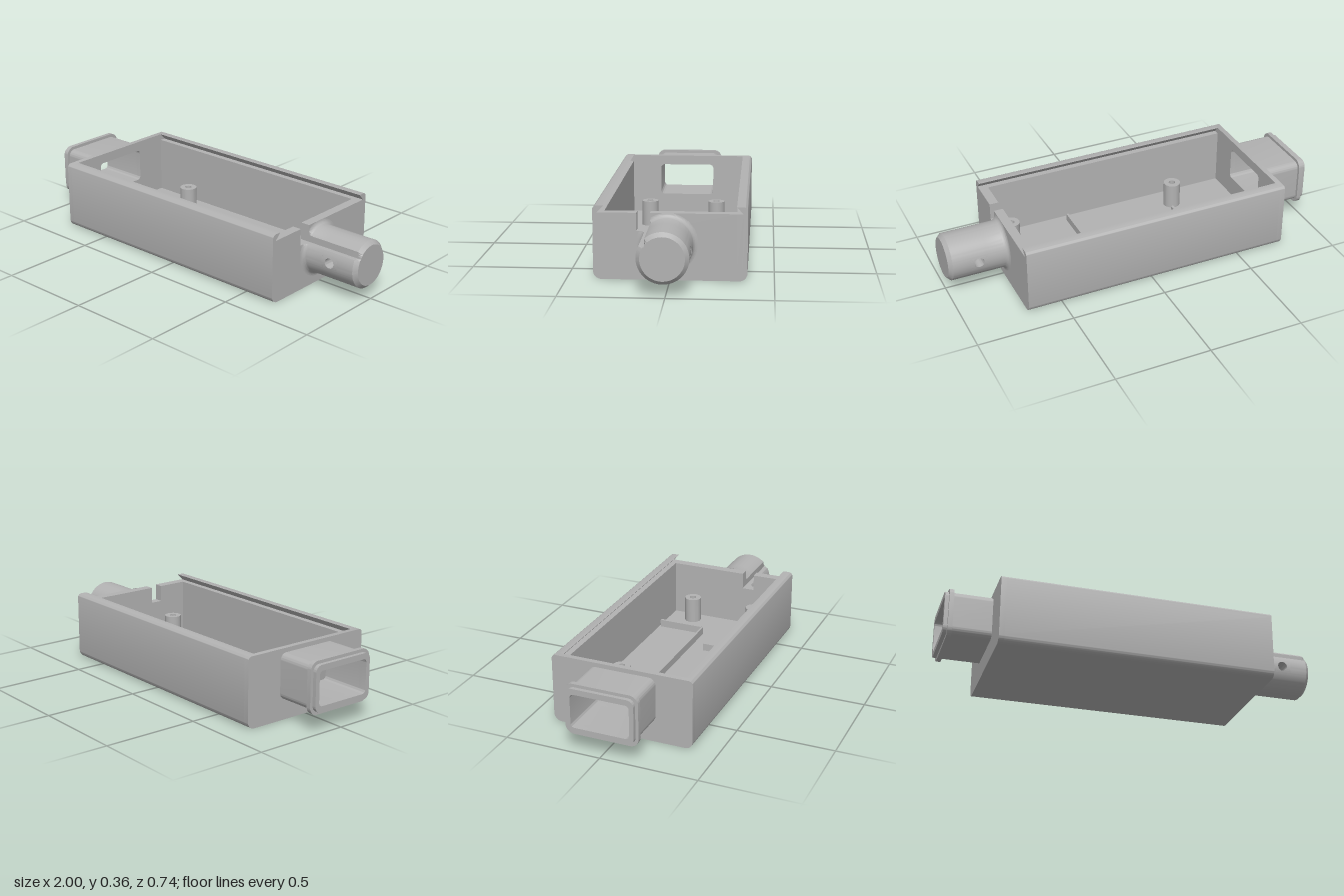
import * as THREE from 'three';
import { toCreasedNormals } from 'three/addons/utils/BufferGeometryUtils.js';

const X0 = -0.755, X1 = 0.685;      // ends of the case
const WALL = 0.318, HALF = 0.371;   // inner and outer half widths
const FLOOR = 0.03, LEDGE = 0.328, TOP = 0.362;
const PLUG = { y: 0.183, z: 0.012, r: 0.123 };

export function createModel() {
  const group = new THREE.Group();
  const grey = new THREE.MeshStandardMaterial({ color: 0xb2b2b2, side: THREE.DoubleSide });
  grey.name = 'case grey';

  const add = (name, geo, crease = 0.6) => {
    const mesh = new THREE.Mesh(toCreasedNormals(geo, crease), grey);
    mesh.name = name;
    group.add(mesh);
    return mesh;
  };

  // Extrude a (-z, y) cross-section along x
  const prism = (shape, xa, xb) => new THREE.ExtrudeGeometry(shape, {
    depth: xb - xa, bevelEnabled: false, curveSegments: 8,
  }).rotateY(Math.PI / 2).translate(xa, 0, 0);

  const roundRect = (path, cu, cy, hw, hh, rBottom, rTop = rBottom) => {
    const l = cu - hw, r = cu + hw, b = cy - hh, t = cy + hh;
    path.moveTo(l + rBottom, b);
    path.lineTo(r - rBottom, b);
    path.absarc(r - rBottom, b + rBottom, rBottom, -Math.PI / 2, 0);
    path.absarc(r - rTop, t - rTop, rTop, 0, Math.PI / 2);
    path.absarc(l + rTop, t - rTop, rTop, Math.PI / 2, Math.PI);
    path.absarc(l + rBottom, b + rBottom, rBottom, Math.PI, Math.PI * 1.5);
    return path;
  };

  // Trough: floor and long walls with dovetail grooves for a sliding lid
  const u = new THREE.Shape();
  u.moveTo(-HALF + 0.04, 0);
  u.lineTo(HALF - 0.04, 0);
  u.absarc(HALF - 0.04, 0.04, 0.04, -Math.PI / 2, 0);
  u.absarc(HALF - 0.02, TOP - 0.02, 0.02, 0, Math.PI / 2);
  for (const [a, b] of [[WALL, TOP], [0.35, LEDGE], [WALL, LEDGE], [WALL, FLOOR],
    [-WALL, FLOOR], [-WALL, LEDGE], [-0.35, LEDGE], [-WALL, TOP]]) u.lineTo(a, b);
  u.absarc(-HALF + 0.02, TOP - 0.02, 0.02, Math.PI / 2, Math.PI);
  u.absarc(-HALF + 0.04, 0.04, 0.04, Math.PI, Math.PI * 1.5);
  add('trough', prism(u, -0.727, X1));

  // Lower end wall with the cable notch
  const end = new THREE.Shape([[-WALL, FLOOR], [WALL, FLOOR], [WALL, LEDGE], [-0.095, LEDGE],
    [-0.095, 0.24], [-0.16, 0.24], [-0.16, LEDGE], [-WALL, LEDGE]]
    .map(([a, b]) => new THREE.Vector2(a, b)));
  add('notchedEndWall', prism(end, 0.637, X1));

  // Tall end wall, rectangular socket tube and its flange, all sharing one opening
  const CU = -0.005, CY = 0.2225;
  const ring = (cu, cy, hw, hh, rb, rt) => {
    const s = roundRect(new THREE.Shape(), cu, cy, hw, hh, rb, rt);
    s.holes.push(roundRect(new THREE.Path(), CU, CY, 0.152, 0.0875, 0.02));
    return s;
  };
  add('socketEndWall', prism(ring(0, TOP / 2, HALF, TOP / 2, 0.04, 0.02), X0, -0.727));
  add('socketTube', prism(ring(CU, CY, 0.175, 0.117, 0.035), -1, X0));
  add('socketFlange', prism(ring(CU, CY, 0.19, 0.133, 0.045), -0.98, -0.956));

  // Screw posts with blind holes
  for (const x of [-0.38, 0.565]) for (const z of [-0.18, 0.19]) {
    const profile = [[0.045, FLOOR], [0.045, 0.167], [0.018, 0.167], [0.018, 0.06], [0, 0.06]]
      .map(([r, y]) => new THREE.Vector2(r, y));
    add('screwPost', new THREE.LatheGeometry(profile, 32).translate(x, 0, z));
  }

  // Low locating ribs on the floor
  for (const [xa, xb, za, zb] of [[-0.33, 0.4, -0.062, -0.05], [0.4, 0.414, -0.31, -0.062],
    [0.205, 0.217, 0.03, 0.275], [-0.35, -0.336, 0.03, 0.11]]) {
    const h = 0.07 - FLOOR;
    add('floorRib', new THREE.BoxGeometry(xb - xa, h, zb - za)
      .translate((xa + xb) / 2, FLOOR + h / 2, (za + zb) / 2));
  }

  // Round plug: radius follows a profile, limited by a square step that carries the cable
  const point = (x, r, a) => {
    const s = Math.sin(a), c = Math.cos(a);
    const rr = s > 1e-4 && c > 1e-4 ? Math.min(r, Math.max(0.057 / s, 0.083 / c)) : r;
    return [x, PLUG.y + rr * s, PLUG.z + rr * c];
  };
  const pos = [];
  const quad = (a, b, c, d) => pos.push(...a, ...b, ...c, ...a, ...c, ...d);
  const HX = 0.842, HR = 0.026, PX = 0.045, PA = 0.3;   // cross hole and the patch round it
  const step = [Math.asin(0.057 / PLUG.r), Math.atan2(0.057, 0.083), Math.acos(0.083 / PLUG.r)];
  const angles = [-PA, PA, Math.PI - PA, Math.PI + PA, ...step, step[0] + 0.002, step[2] - 0.002];
  for (let i = 0; i < 80; i++) angles.push(-PA + (i + 0.5) * Math.PI / 40);
  angles.sort((a, b) => a - b);
  angles.push(2 * Math.PI - PA);

  const profile = [];
  for (let i = 0; i <= 6; i++) {   // root fillet
    const t = i / 6 * Math.PI / 2;
    profile.push([X1 + 0.024 * (1 - Math.cos(t)), PLUG.r + 0.024 * (1 - Math.sin(t))]);
  }
  profile.push([HX - PX, PLUG.r], [HX + PX, PLUG.r], [0.98, PLUG.r], [1, 0.104], [1, 0]);
  for (let i = 0; i < profile.length - 1; i++) {
    const [xa, ra] = profile[i], [xb, rb] = profile[i + 1];
    for (let j = 0; j < angles.length - 1; j++) {
      const a = angles[j], b = angles[j + 1], mid = (a + b) / 2;
      const inPatch = Math.abs(Math.sin(mid)) < Math.sin(PA);
      if (xa === HX - PX && inPatch) continue;
      quad(point(xa, ra, a), point(xa, ra, b), point(xb, rb, b), point(xb, rb, a));
    }
  }
  // Patches between the hole rim and the plug surface on both sides, plus the bore
  const N = 40, K = 4;
  const rim = (i, k, base) => {
    const t = i / N * 2 * Math.PI, c = Math.cos(t), s = Math.sin(t);
    const m = 1 / Math.max(Math.abs(c), Math.abs(s)), f = k / K;
    const dx = HR * c * (1 - f) + PX * c * m * f;
    const da = Math.asin(HR * s / PLUG.r) * (1 - f) + PA * s * m * f;
    return point(HX + dx, PLUG.r, base ? base - da : da);
  };
  for (let i = 0; i < N; i++) {
    for (let k = 0; k < K; k++) {
      quad(rim(i, k, 0), rim(i, k + 1, 0), rim(i + 1, k + 1, 0), rim(i + 1, k, 0));
      quad(rim(i, k, Math.PI), rim(i + 1, k, Math.PI), rim(i + 1, k + 1, Math.PI), rim(i, k + 1, Math.PI));
    }
    quad(rim(i, 0, 0), rim(i + 1, 0, 0), rim(i + 1, 0, Math.PI), rim(i, 0, Math.PI));
  }
  // Wind every surface outward, dropping collapsed triangles
  const clean = [];
  const v = [0, 1, 2].map(() => new THREE.Vector3()), tri = new THREE.Triangle(...v);
  for (let i = 0; i < pos.length; i += 9) {
    v.forEach((p, n) => p.fromArray(pos, i + n * 3));
    if (tri.getArea() > 1e-10) clean.push(...v.flatMap((p) => p.toArray()));
  }
  const plug = new THREE.BufferGeometry();
  plug.setAttribute('position', new THREE.Float32BufferAttribute(clean, 3));
  // Corner order: make the front side face away from the plug axis
  const p = plug.attributes.position, e1 = new THREE.Vector3(), e2 = new THREE.Vector3();
  const out = new THREE.Vector3();
  for (let i = 0; i < p.count; i += 3) {
    v.forEach((q, n) => q.fromBufferAttribute(p, i + n));
    out.copy(v[0]).add(v[1]).add(v[2]).divideScalar(3);
    const bore = v.every((q) => Math.abs(Math.hypot(q.x - HX, q.y - PLUG.y) - HR) < 1e-4);
    if (bore) out.set(HX - out.x, PLUG.y - out.y, 0);
    else out.set(out.x > 0.999 ? 1 : 0, out.y - PLUG.y, out.z - PLUG.z);
    if (e1.subVectors(v[1], v[0]).cross(e2.subVectors(v[2], v[0])).dot(out) < 0) {
      p.setXYZ(i + 1, v[2].x, v[2].y, v[2].z);
      p.setXYZ(i + 2, v[1].x, v[1].y, v[1].z);
    }
  }
  add('roundPlug', plug, 0.5);

  return group;
}
